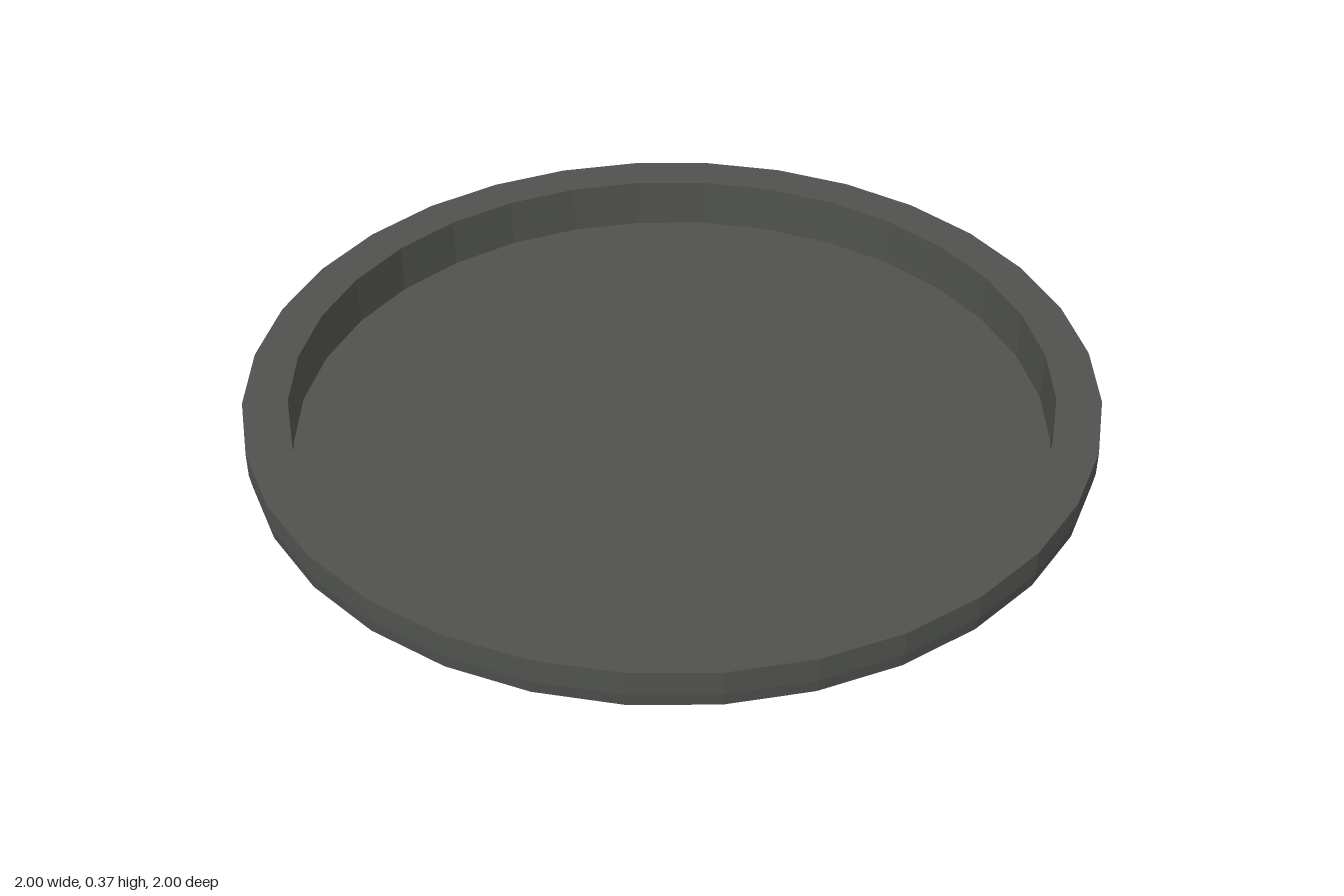
import * as THREE from 'three';

const SIDES = 32;

export function createModel() {
  const dish = new THREE.Group();
  dish.name = 'dish';
  const material = new THREE.MeshStandardMaterial({ color: 0x50524f, flatShading: true });

  // Each part is a faceted turned profile of [radius, height] points
  const turned = (name, profile) => {
    const points = profile.map(([r, y]) => new THREE.Vector2(r, y));
    const mesh = new THREE.Mesh(new THREE.LatheGeometry(points, SIDES), material);
    mesh.name = name;
    dish.add(mesh);
  };

  // Shallow rounded underside
  turned('underside', [[0, 0], [0.21, 0.004], [0.53, 0.05], [0.755, 0.17], [0.82, 0.22], [0.995, 0.277]]);

  // Upright rim: outer wall, flat top, inner wall
  turned('rim', [[0.995, 0.277], [1, 0.31], [1, 0.37], [0.895, 0.37], [0.895, 0.245]]);

  // Flat recessed floor
  turned('floor', [[0.895, 0.245], [0, 0.245]]);

  return dish;
}
